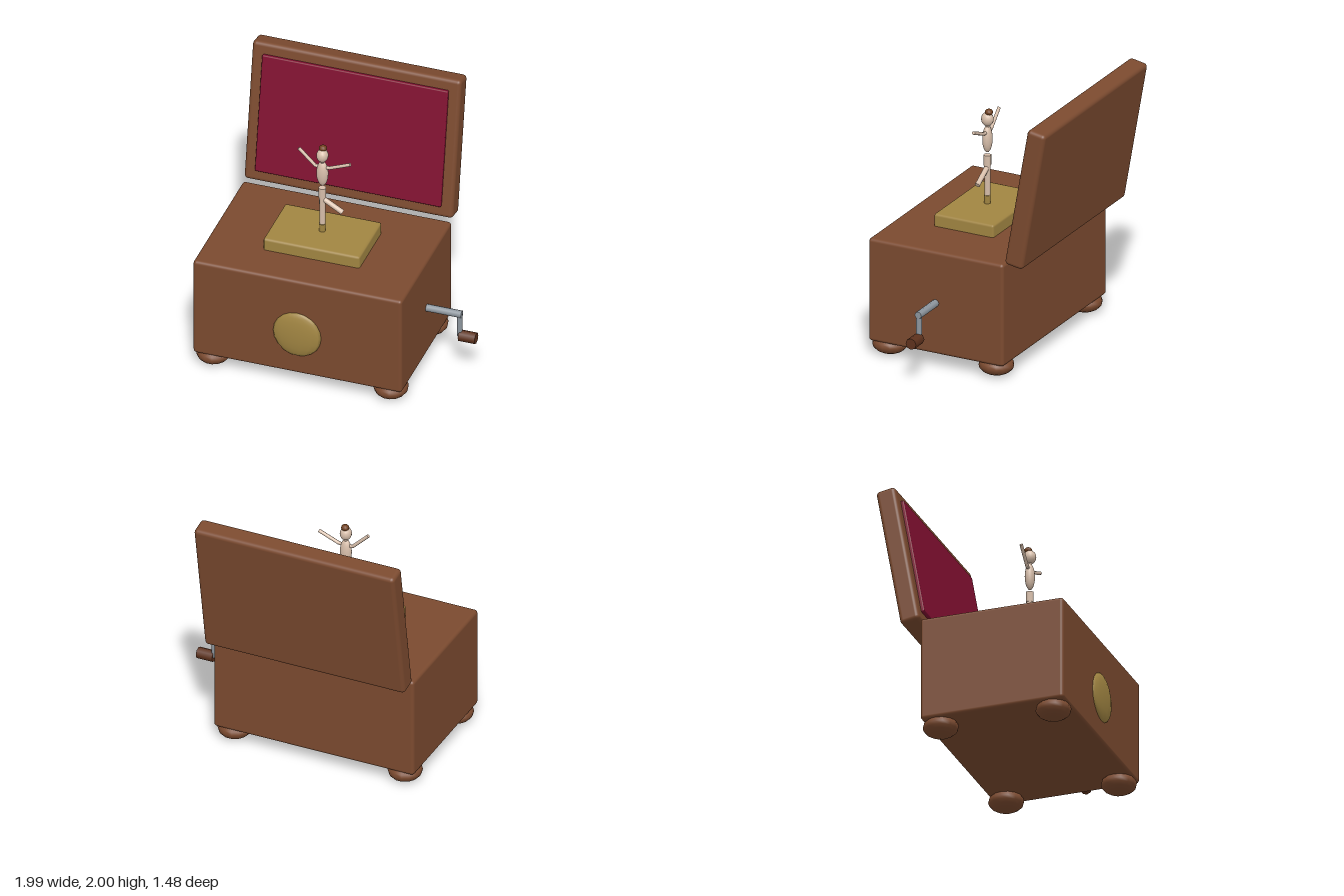
import * as THREE from 'three';
import { RoundedBoxGeometry } from 'three/addons/geometries/RoundedBoxGeometry.js';

const mat = (name, color) => {
  const m = new THREE.MeshStandardMaterial({ color });
  m.name = name;
  return m;
};

export function createModel() {
  const wood = mat('wood', 0x7b4a2f);
  const darkWood = mat('dark wood', 0x5e321d);
  const hairBrown = mat('hair brown', 0x70401f);
  const brass = mat('brass', 0xa18542);
  const velvet = mat('velvet', 0x800f30);
  const steel = mat('steel', 0x8d969e);
  const skin = mat('skin', 0xd8bfab);

  const CX = -0.185, CZ = 0.15; // centre of the box
  const model = new THREE.Group();
  model.name = 'musicBox';

  const add = (parent, name, geometry, material, x, y, z) => {
    const mesh = new THREE.Mesh(geometry, material);
    mesh.name = name;
    mesh.position.set(x, y, z);
    parent.add(mesh);
    return mesh;
  };
  const box = (parent, name, material, [w, h, d], [x, y, z], r, seg = 3) =>
    add(parent, name, new RoundedBoxGeometry(w, h, d, seg, r), material, x, y, z);
  const ellipsoid = (parent, name, material, [rx, ry, rz], [x, y, z], ws = 16, hs = 10) =>
    add(parent, name, new THREE.SphereGeometry(1, ws, hs).scale(rx, ry, rz), material, x, y, z);
  // Round rod from point a to point b
  const rod = (parent, name, material, a, b, rA, rB = rA, sides = 8) => {
    const p = new THREE.Vector3(...a), q = new THREE.Vector3(...b);
    const dir = q.clone().sub(p);
    const mid = p.clone().add(q).multiplyScalar(0.5);
    const mesh = add(parent, name, new THREE.CylinderGeometry(rB, rA, dir.length(), sides), material, mid.x, mid.y, mid.z);
    mesh.quaternion.setFromUnitVectors(new THREE.Vector3(0, 1, 0), dir.normalize());
    return mesh;
  };

  // Case and four bun feet
  box(model, 'caseBody', wood, [1.6, 0.8, 1.105], [CX, 0.51, CZ], 0.025);
  for (const sx of [-1, 1]) {
    for (const sz of [-1, 1]) {
      ellipsoid(model, 'foot', wood, [0.127, 0.075, 0.132], [CX + sx * 0.68, 0.075, CZ + sz * 0.435], 14, 10);
    }
  }

  // Open lid, leaning back, with a velvet lining
  const lid = new THREE.Group();
  lid.name = 'lid';
  lid.position.set(CX, 1.45, -0.577);
  lid.rotation.x = -Math.PI / 18;
  model.add(lid);
  box(lid, 'lidPanel', wood, [1.6, 1.1, 0.15], [0, 0, 0], 0.03);
  box(lid, 'lidLining', velvet, [1.425, 0.925, 0.05], [0, 0, 0.075], 0.01, 2);

  // Brass stage and front medallion
  box(model, 'stage', brass, [0.74, 0.11, 0.49], [CX, 0.95, CZ], 0.018, 1);
  ellipsoid(model, 'medallion', brass, [0.185, 0.185, 0.04], [CX, 0.45, 0.702], 14, 10);

  // Winding crank
  const crank = new THREE.Group();
  crank.name = 'crank';
  model.add(crank);
  rod(crank, 'crankShaft', steel, [0.58, 0.51, CZ], [0.885, 0.51, CZ], 0.028);
  rod(crank, 'crankArm', steel, [0.867, 0.51, CZ], [0.867, 0.325, CZ], 0.022);
  rod(crank, 'crankKnob', darkWood, [0.867, 0.325, CZ], [0.995, 0.325, CZ], 0.043);

  // Dancer, built around its own vertical axis
  const dancer = new THREE.Group();
  dancer.name = 'dancer';
  dancer.position.set(CX, 0, CZ);
  model.add(dancer);
  rod(dancer, 'post', brass, [0, 1.0, 0], [0, 1.068, 0], 0.025);
  rod(dancer, 'standingShin', skin, [0, 1.065, 0], [0, 1.31, 0], 0.022, 0.025);
  rod(dancer, 'standingThigh', skin, [0, 1.3, 0], [0, 1.38, 0], 0.029);
  rod(dancer, 'raisedLeg', skin, [0, 1.288, 0], [0.155, 1.197, 0], 0.02);
  ellipsoid(dancer, 'torso', skin, [0.045, 0.105, 0.036], [0, 1.505, 0]);
  rod(dancer, 'neck', skin, [0, 1.57, 0], [0, 1.63, 0], 0.016);
  ellipsoid(dancer, 'head', skin, [0.044, 0.053, 0.047], [0, 1.66, 0]);
  ellipsoid(dancer, 'hairBun', hairBrown, [0.03, 0.024, 0.03], [0, 1.716, -0.012], 12, 8);
  // Arms: upper arm level, forearm raised
  const arms = { rightArm: [[-0.055, 1.562], [-0.18, 1.685]], leftArm: [[0.055, 1.562], [0.215, 1.627]] };
  for (const [name, [elbow, hand]] of Object.entries(arms)) {
    const arm = new THREE.Group();
    arm.name = name;
    dancer.add(arm);
    rod(arm, 'upperArm', skin, [0, 1.56, 0], [...elbow, 0], 0.013);
    rod(arm, 'forearm', skin, [...elbow, 0], [...hand, 0], 0.013);
  }

  return model;
}
